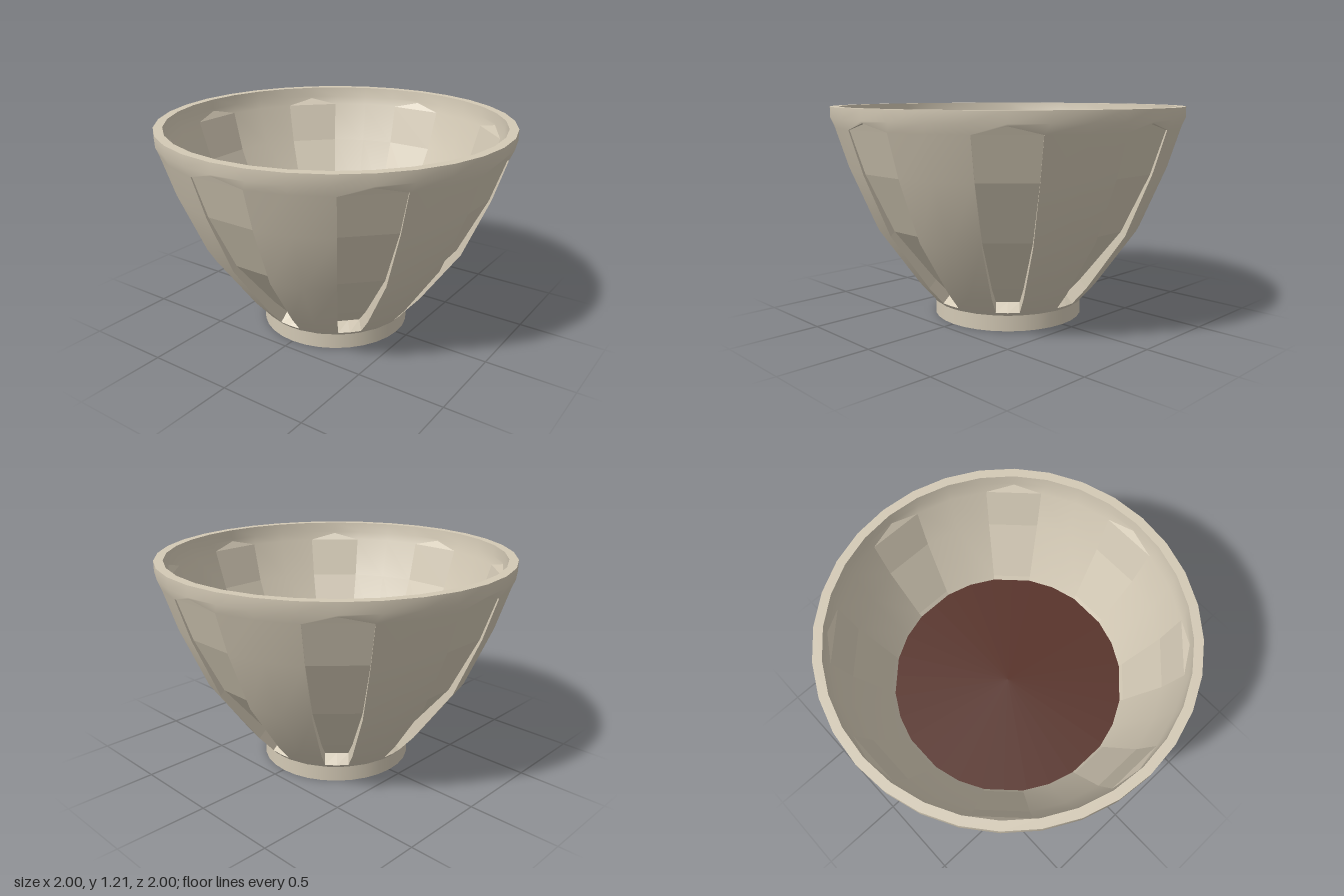
import * as THREE from 'three';
import { mergeVertices } from 'three/addons/utils/BufferGeometryUtils.js';

const SECTORS = 8;
const STEP = (Math.PI * 2) / SECTORS;
const rad = THREE.MathUtils.degToRad;

// Each row: [height, radius, half angle of the panel in degrees, recess depth]
const OUTER = [
  [0.09, 0.437, 8.0, 0], [0.11, 0.454, 8.2, 0.07], [0.21, 0.54, 8.9, 0.064],
  [0.53, 0.765, 9.4, 0.036], [0.87, 0.908, 9.6, 0.018], [1.1, 0.98, 9.7, 0.01],
  [1.15, 1.0, 11.25, 0], [1.21, 1.0, 11.25, 0],
];
const INNER = [
  [0.45, 0.645, 9.4, 0], [0.53, 0.695, 9.4, 0], [0.87, 0.86, 9.6, 0], [1.1, 0.93, 9.7, 0],
  [1.15, 0.945, 11.25, 0], [1.21, 0.95, 11.25, 0],
];
const PEAK_RISE = 0.04;

const polar = (r, y, t) => new THREE.Vector3(r * Math.sin(t), y, r * Math.cos(t));

function toGeometry(triangles, smooth) {
  let geometry = new THREE.BufferGeometry().setFromPoints(triangles);
  if (smooth) geometry = mergeVertices(geometry, 1e-4);
  geometry.computeVertexNormals();
  return geometry;
}

// Builds a shell with eight flat panels; first and last are the panel's end rows
function buildShell(rows, first, last, inward) {
  const skin = [], panels = [];
  const tri = (list, a, b, c) => list.push(...(inward ? [a, c, b] : [a, b, c]).map((p) => p.clone()));
  const quad = (list, a, b, c, d) => { tri(list, a, b, c); tri(list, a, c, d); };

  for (let s = 0; s < SECTORS; s++) {
    const turn = s * STEP;
    const out = new THREE.Vector3(Math.sin(turn), 0, Math.cos(turn));
    const grid = rows.map(([y, r, deg], i) => {
      const a = rad(deg);
      const peak = i === last;
      return {
        left: polar(r, y, turn - a),
        mid: peak ? polar(r + 0.014, y + PEAK_RISE, turn) : polar(r, y, turn),
        right: polar(r, y, turn + a),
        half: polar(r, y, turn + STEP / 2),
        next: polar(r, y, turn + STEP - a),
      };
    });
    // Sunken panel points, moved inwards square to the wall
    const sink = (p, d) => p.clone().addScaledVector(out, -0.77 * d).setY(p.y + (d > 0.02 ? 0.64 * d : 0));
    const floor = grid.map((g, i) => ({ left: sink(g.left, rows[i][3]), right: sink(g.right, rows[i][3]) }));

    for (let i = 0; i < rows.length - 1; i++) {
      const g = grid[i], h = grid[i + 1], f = floor[i], k = floor[i + 1];
      // Wall between two panels
      quad(skin, g.right, g.half, h.half, h.right);
      quad(skin, g.half, g.next, h.next, h.half);
      if (i < first || i >= last) {
        // Plain wall below and above the panel
        quad(skin, g.left, g.mid, h.mid, h.left);
        quad(skin, g.mid, g.right, h.right, h.mid);
      } else {
        // Panel floor and its side walls
        quad(panels, f.left, f.right, k.right, k.left);
        if (!inward) {
          quad(panels, f.right, g.right, h.right, k.right);
          quad(panels, g.left, f.left, k.left, h.left);
        }
      }
    }

    // Pointed top of the panel
    const top = floor[last], rim = grid[last];
    const tip = inward ? rim.mid : rim.mid.clone().addScaledVector(out, -0.022);
    tri(panels, top.left, top.right, tip);
    if (!inward) {
      quad(panels, top.left, tip, rim.mid, rim.left);
      quad(panels, tip, top.right, rim.right, rim.mid);
      // Ledge at the foot of the panel
      const low = floor[first], edge = grid[first];
      const centre = low.left.clone().lerp(low.right, 0.5);
      quad(panels, edge.left, edge.mid, centre, low.left);
      quad(panels, edge.mid, edge.right, low.right, centre);
    }
  }
  return [toGeometry(skin, true), toGeometry(panels, false)];
}

export function createModel() {
  const model = new THREE.Group();
  model.name = 'bowl';
  const ceramic = new THREE.MeshStandardMaterial({ color: 0xd3c9b5 });
  ceramic.name = 'beige ceramic';
  const drink = new THREE.MeshStandardMaterial({ color: 0x552e24 });
  drink.name = 'dark brown liquid';

  const add = (name, geometry, material, y = 0) => {
    const mesh = new THREE.Mesh(geometry, material);
    mesh.name = name;
    mesh.position.y = y;
    model.add(mesh);
  };

  // Bowl walls with recessed panels outside and flat facets inside
  const [outerSkin, outerPanels] = buildShell(OUTER, 1, 5, false);
  add('outerWall', outerSkin, ceramic);
  add('recessedPanels', outerPanels, ceramic);
  const [innerSkin, innerPanels] = buildShell(INNER, 0, 3, true);
  add('innerWall', innerSkin, ceramic);
  add('innerFacets', innerPanels, ceramic);

  // Rim, foot and contents
  add('rim', new THREE.RingGeometry(0.95, 1, 32).rotateX(-Math.PI / 2), ceramic, 1.21);
  add('foot', new THREE.CylinderGeometry(0.432, 0.432, 0.09, 32), ceramic, 0.045);
  add('liquid', new THREE.CircleGeometry(0.685, 32).rotateX(-Math.PI / 2), drink, 0.505);
  return model;
}
